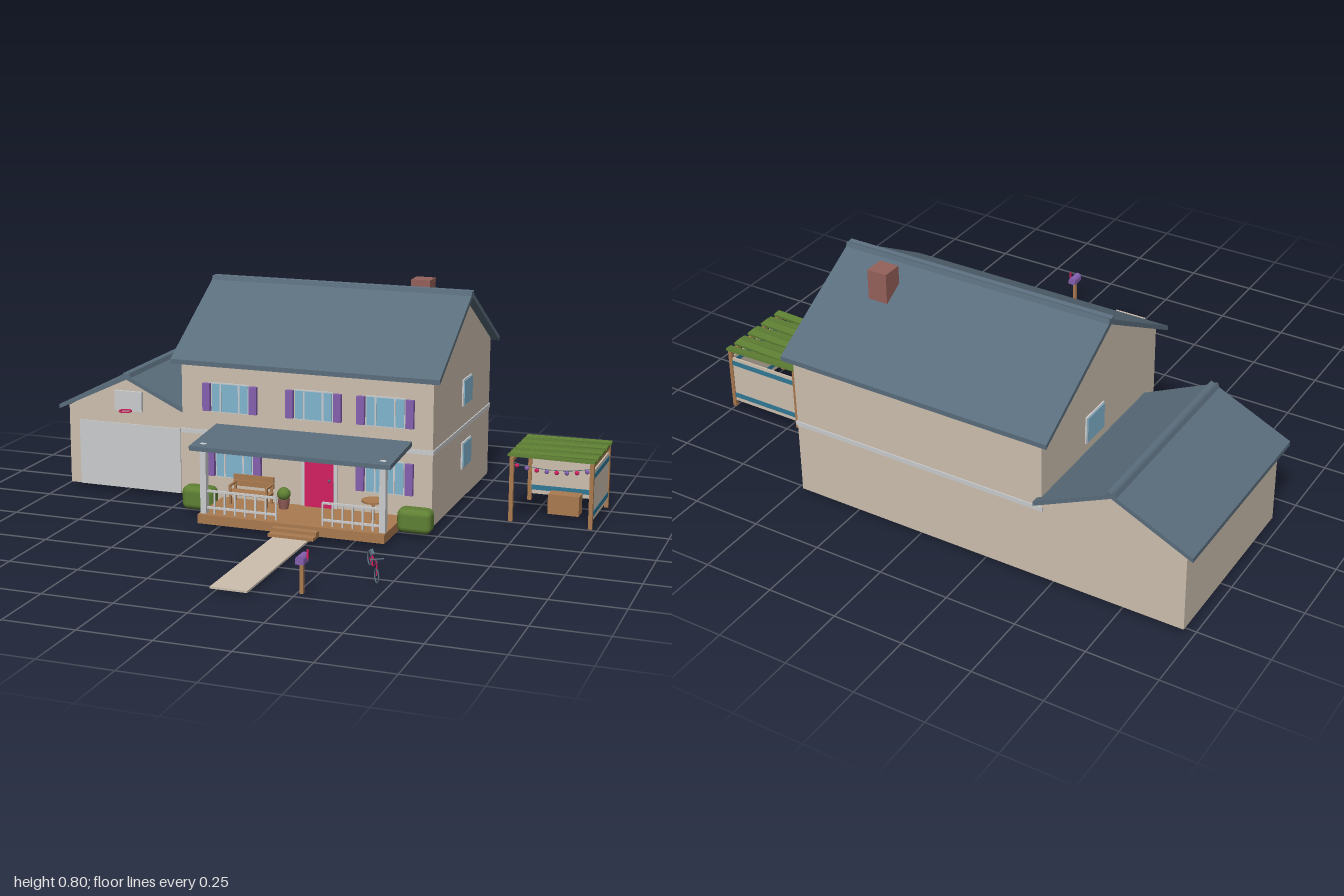
import * as THREE from 'three';
import { RoundedBoxGeometry } from 'three/addons/geometries/RoundedBoxGeometry.js';

const paint = (name, color, side = THREE.FrontSide) => {
  const m = new THREE.MeshStandardMaterial({ color, side });
  m.name = name;
  return m;
};

export function createModel() {
  const tan = paint('tan siding', 0xcdbfae);
  const slate = paint('slate roof', 0x5a6d7c);
  const trim = paint('light trim', 0xcbccce);
  const glass = paint('window glass', 0x82b6d0);
  const purple = paint('purple', 0x8560b0);
  const crimson = paint('crimson', 0xd42060);
  const wood = paint('wood', 0xaa7a50);
  const green = paint('leaf green', 0x5f8034);
  const brick = paint('brick', 0x95605a);
  const teal = paint('teal', 0x307896);

  const model = new THREE.Group();
  model.name = 'house';

  const add = (parent, name, geo, mat, x = 0, y = 0, z = 0) => {
    const m = new THREE.Mesh(geo, mat);
    m.name = name;
    m.position.set(x, y, z);
    parent.add(m);
    return m;
  };
  const group = (name, parent = model) => {
    const g = new THREE.Group();
    g.name = name;
    parent.add(g);
    return g;
  };
  // box given by its limits on each axis
  const box = (parent, name, mat, x0, x1, y0, y1, z0, z1) =>
    add(parent, name, new THREE.BoxGeometry(x1 - x0, y1 - y0, z1 - z0), mat,
      (x0 + x1) / 2, (y0 + y1) / 2, (z0 + z1) / 2);
  // prism from an (x, y) outline between z0 and z1
  const prismZ = (parent, name, mat, pts, z0, z1) => {
    const shape = new THREE.Shape(pts.map(p => new THREE.Vector2(...p)));
    return add(parent, name,
      new THREE.ExtrudeGeometry(shape, { depth: z1 - z0, bevelEnabled: false }), mat, 0, 0, z0);
  };
  // prism from a (z, y) outline between x0 and x1
  const prismX = (parent, name, mat, pts, x0, x1) => {
    const m = prismZ(parent, name, mat, pts.map(([z, y]) => [-z, y]), 0, x1 - x0);
    m.geometry.rotateY(Math.PI / 2);
    m.position.x = x0;
    return m;
  };
  const rod = (parent, name, mat, a, b, r) => {
    const A = new THREE.Vector3(...a), B = new THREE.Vector3(...b);
    const m = add(parent, name, new THREE.CylinderGeometry(r, r, A.distanceTo(B), 8), mat);
    m.position.copy(A).add(B).multiplyScalar(0.5);
    m.quaternion.setFromUnitVectors(new THREE.Vector3(0, 1, 0), B.sub(A).normalize());
    return m;
  };

  // main house body, roof and ridge
  const house = group('mainHouse');
  prismX(house, 'houseWalls', tan,
    [[-0.03, 0.02], [-0.03, 0.548], [-0.403, 0.766], [-0.78, 0.548], [-0.78, 0.02]], -0.468, 0.468);
  prismX(house, 'mainRoof', slate, [[0, 0.535], [0, 0.552], [-0.403, 0.786],
    [-0.805, 0.552], [-0.805, 0.535], [-0.403, 0.767]], -0.498, 0.497);
  prismX(house, 'ridgeCap', slate, [[-0.385, 0.775], [-0.39, 0.792], [-0.403, 0.788],
    [-0.416, 0.792], [-0.421, 0.775]], -0.498, 0.497);
  box(house, 'chimney', brick, 0.243, 0.315, 0.66, 0.804, -0.556, -0.484);
  box(house, 'wallBand', trim, -0.472, 0.472, 0.28, 0.296, -0.784, -0.026);

  // garage
  const garage = group('garage');
  prismZ(garage, 'garageWalls', tan, [[-0.97, 0.02], [-0.46, 0.02], [-0.46, 0.315],
    [-0.722, 0.437], [-0.97, 0.318]], -0.78, -0.125);
  prismZ(garage, 'garageRoof', slate, [[-1, 0.306], [-0.722, 0.437], [-0.45, 0.309],
    [-0.45, 0.325], [-0.722, 0.453], [-1, 0.322]], -0.805, -0.1);
  prismZ(garage, 'garageRidgeCap', slate, [[-0.742, 0.44], [-0.702, 0.44], [-0.71, 0.461],
    [-0.722, 0.456], [-0.734, 0.461]], -0.805, -0.1);
  box(garage, 'garageDoor', trim, -0.927, -0.518, 0.02, 0.265, -0.128, -0.12);
  for (let i = 0; i < 5; i++) {
    const y = 0.024 + i * 0.049;
    box(garage, 'garageDoorPanel', trim, -0.92, -0.525, y, y + 0.043, -0.13, -0.121);
  }
  box(garage, 'backboard', trim, -0.778, -0.668, 0.315, 0.39, -0.125, -0.113);
  add(garage, 'hoop', new THREE.TorusGeometry(0.022, 0.003, 6, 20), crimson, -0.722, 0.322, -0.088)
    .rotation.x = Math.PI / 2;

  // windows, built facing +z around their centre
  const makeWindow = (x, y, z, turn, w, h, bars, shutters) => {
    const g = group('window');
    g.position.set(x, y, z);
    g.rotation.y = turn;
    box(g, 'windowFrame', trim, -w / 2 - 0.004, w / 2 + 0.004, -h / 2 - 0.004, h / 2 + 0.004, -0.002, 0.006);
    box(g, 'windowGlass', glass, -w / 2, w / 2, -h / 2, h / 2, 0, 0.009);
    for (const b of bars) box(g, 'windowBar', trim, b - 0.003, b + 0.003, -h / 2, h / 2, 0, 0.011);
    if (shutters) for (const s of [-1, 1])
      box(g, 'shutter', purple, s * 0.089 - 0.014, s * 0.089 + 0.014, -h / 2, h / 2, -0.002, 0.016);
  };
  for (const x of [-0.28, 0.035, 0.298]) makeWindow(x, 0.419, -0.03, 0, 0.135, 0.1, [-0.035, 0.035], true);
  for (const x of [-0.265, 0.298]) makeWindow(x, 0.187, -0.03, 0, 0.135, 0.112, [-0.035, 0.035], true);
  for (const y of [0.419, 0.185]) makeWindow(0.468, y, -0.45, Math.PI / 2, 0.108, 0.09, [], false);
  makeWindow(-0.468, 0.419, -0.45, -Math.PI / 2, 0.108, 0.09, [], false);

  // front door
  const door = group('frontDoor');
  box(door, 'doorFrame', trim, -0.01, 0.123, 0.05, 0.268, -0.032, -0.024);
  box(door, 'doorLeaf', crimson, 0.003, 0.11, 0.052, 0.255, -0.03, -0.021);
  add(door, 'doorKnob', new THREE.SphereGeometry(0.005, 10, 8), slate, 0.096, 0.155, -0.018);
  box(door, 'wallLamp', trim, 0.158, 0.174, 0.222, 0.25, -0.032, -0.02);

  // porch: deck, steps, roof, posts and railings
  const porch = group('porch');
  box(porch, 'deck', wood, -0.313, 0.37, 0.02, 0.053, -0.03, 0.2);
  box(porch, 'upperStep', wood, -0.027, 0.137, 0.02, 0.042, 0.2, 0.228);
  box(porch, 'lowerStep', wood, -0.027, 0.137, 0.02, 0.031, 0.2, 0.26);
  prismX(porch, 'porchRoof', slate,
    [[0.215, 0.284], [0.215, 0.3], [-0.03, 0.322], [-0.03, 0.305]], -0.336, 0.393);
  for (const x of [-0.297, 0.357]) box(porch, 'porchPost', trim, x - 0.011, x + 0.011, 0.053, 0.304, 0.162, 0.186);
  for (const [a, b] of [[-0.297, -0.03], [0.14, 0.357]]) {
    for (const y of [0.07, 0.13]) box(porch, 'rail', trim, a, b, y, y + 0.007, 0.17, 0.178);
    const n = Math.round((b - a) / 0.038);
    for (let i = 0; i <= n; i++) {
      const x = a + (b - a) * i / n;
      box(porch, 'baluster', trim, x - 0.003, x + 0.003, 0.053, 0.132, 0.171, 0.177);
    }
  }

  // bench on the porch
  const bench = group('bench', porch);
  box(bench, 'benchSeat', wood, -0.262, -0.108, 0.088, 0.097, -0.005, 0.05);
  for (const y of [0.108, 0.13]) box(bench, 'benchBackSlat', wood, -0.262, -0.108, y, y + 0.02, -0.012, -0.005);
  for (const x of [-0.258, -0.12]) {
    for (const z of [-0.01, 0.04]) box(bench, 'benchLeg', wood, x, x + 0.008, 0.053, 0.12, z, z + 0.008);
    box(bench, 'benchArm', wood, x, x + 0.008, 0.118, 0.124, -0.01, 0.05);
  }

  // round porch table and potted shrub
  const table = group('porchTable', porch);
  add(table, 'tableTop', new THREE.CylinderGeometry(0.04, 0.04, 0.007, 20), wood, 0.28, 0.121, 0.048);
  rod(table, 'tableLeg', wood, [0.28, 0.053, 0.048], [0.28, 0.12, 0.048], 0.006);
  const shrub = group('pottedShrub', porch);
  add(shrub, 'pot', new THREE.CylinderGeometry(0.022, 0.016, 0.036, 16), brick, -0.056, 0.071, 0.03);
  add(shrub, 'shrub', new THREE.SphereGeometry(0.024, 14, 10), green, -0.056, 0.106, 0.03);

  // hedges beside the porch and front path
  for (const x of [-0.376, 0.428])
    add(model, 'hedge', new RoundedBoxGeometry(0.122, 0.085, 0.07, 3, 0.022), green, x, 0.062, 0.03);
  box(model, 'frontPath', tan, -0.01, 0.117, 0.014, 0.021, 0.2, 0.803);

  // mailbox: arched box on a post, with a flag
  const mail = group('mailbox');
  box(mail, 'mailboxPost', wood, 0.277, 0.289, 0.02, 0.122, 0.755, 0.767);
  const arch = new THREE.Shape();
  arch.moveTo(-0.014, 0);
  arch.lineTo(0.014, 0);
  arch.lineTo(0.014, 0.014);
  arch.absarc(0, 0.014, 0.014, 0, Math.PI, false);
  add(mail, 'mailboxBody', new THREE.ExtrudeGeometry(arch, { depth: 0.05, bevelEnabled: false }),
    purple, 0.283, 0.12, 0.735);
  box(mail, 'mailboxFlag', crimson, 0.297, 0.301, 0.132, 0.162, 0.748, 0.756);

  // bicycle, pitched nose down
  const bike = group('bicycle');
  bike.position.set(0.432, 0.044, 0.508);
  bike.rotation.set(0, -0.965, -0.42, 'YXZ');
  for (const x of [-0.043, 0.043]) add(bike, 'wheel', new THREE.TorusGeometry(0.0225, 0.0025, 6, 24), slate, x);
  const crank = [-0.006, -0.002, 0], saddle = [-0.028, 0.036, 0], head = [0.027, 0.04, 0];
  const rear = [-0.043, 0, 0], front = [0.043, 0, 0], seatTube = [-0.022, 0.026, 0];
  for (const [a, b] of [[crank, saddle], [crank, head], [seatTube, head], [rear, crank], [rear, seatTube], [front, head]])
    rod(bike, 'bikeFrame', crimson, a, b, 0.002);
  rod(bike, 'handlebarStem', slate, head, [0.024, 0.054, 0], 0.002);
  rod(bike, 'handlebar', slate, [0.024, 0.054, -0.022], [0.024, 0.054, 0.022], 0.0025);
  box(bike, 'bikeSaddle', slate, -0.041, -0.017, 0.035, 0.041, -0.005, 0.005);

  // pergola: posts, beams, leafy slats and screens on the back and right sides
  const pergola = group('pergola');
  const [px0, px1, pz0, pz1] = [0.703, 0.985, -0.49, -0.207];
  for (const x of [px0, px1]) {
    for (const z of [pz0, pz1]) box(pergola, 'pergolaPost', wood, x - 0.007, x + 0.007, 0.02, 0.25, z - 0.007, z + 0.007);
    box(pergola, 'pergolaBeam', wood, x - 0.006, x + 0.006, 0.238, 0.252, pz0 - 0.008, pz1 + 0.008);
  }
  for (let i = 0; i < 8; i++) {
    const slat = add(pergola, 'pergolaSlat', new THREE.BoxGeometry(0.308, 0.009, 0.03), green,
      0.842, 0.258, -0.484 + i * 0.0387);
    slat.rotation.y = (i % 2 ? -1 : 1) * 0.03;
    slat.rotation.x = (i % 2 ? -1 : 1) * 0.1;
  }
  box(pergola, 'backScreen', tan, px0, px1, 0.045, 0.225, pz0 - 0.003, pz0 + 0.003);
  box(pergola, 'sideScreen', tan, px1 - 0.003, px1 + 0.003, 0.045, 0.225, pz0, pz1);
  for (const y of [0.06, 0.195]) {
    box(pergola, 'backStripe', teal, px0, px1, y, y + 0.018, pz0 - 0.005, pz0 + 0.005);
    box(pergola, 'sideStripe', teal, px1 - 0.005, px1 + 0.005, y, y + 0.018, pz0, pz1);
  }
  box(pergola, 'pergolaTable', wood, 0.805, 0.917, 0.02, 0.092, -0.39, -0.335);

  // string of lanterns across the pergola front
  const lightPoint = t => [px0 + (px1 - px0) * t, 0.235 - 0.07 * t * (1 - t), pz1];
  for (let i = 0; i < 8; i++) {
    rod(pergola, 'lanternString', slate, lightPoint(i / 8), lightPoint((i + 1) / 8), 0.0012);
    const [x, y, z] = lightPoint((i + 0.5) / 8);
    add(pergola, 'lantern', new THREE.SphereGeometry(0.008, 10, 8), i % 2 ? purple : crimson, x, y - 0.008, z);
  }

  return model;
}
